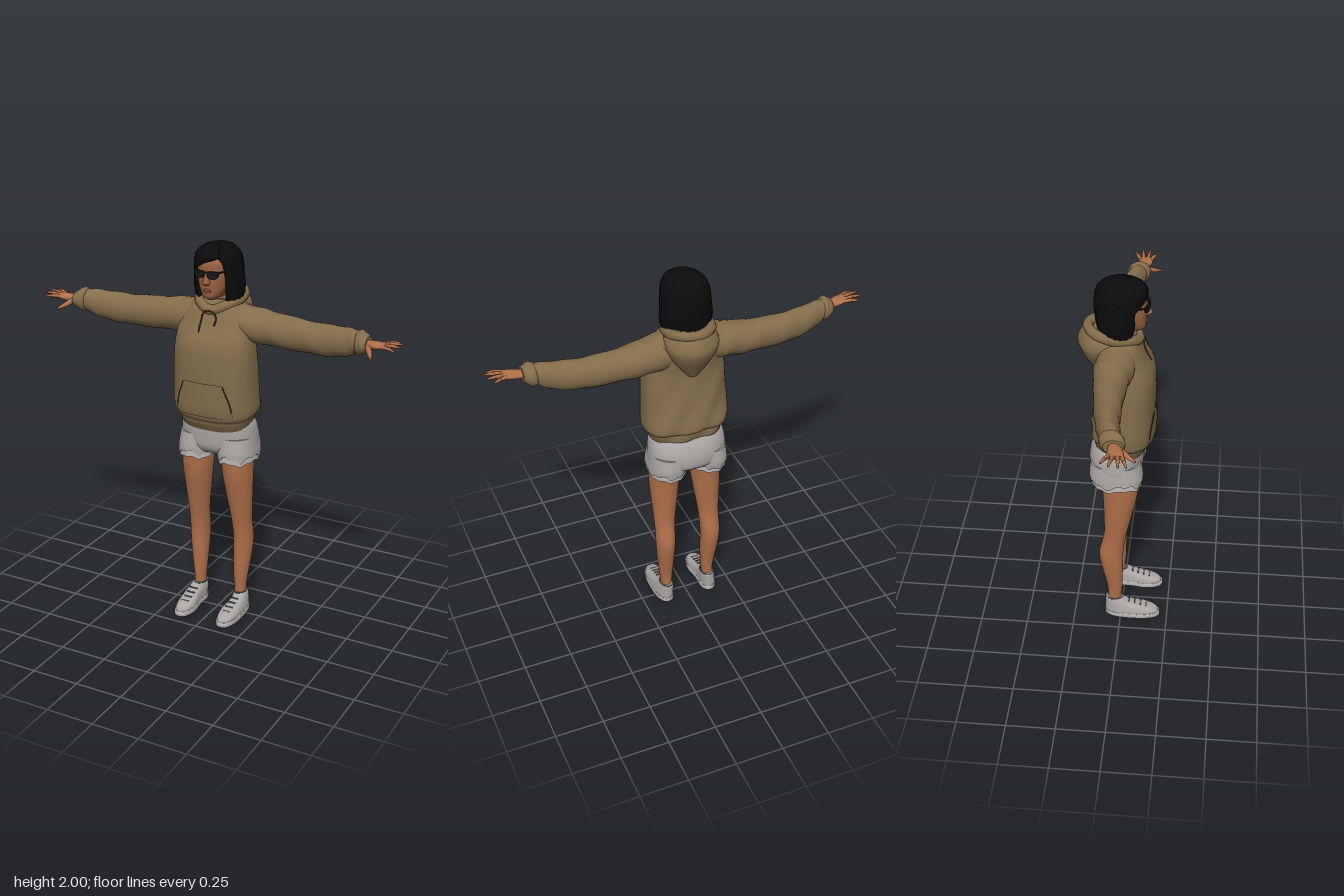
import * as THREE from 'three';
import { mergeGeometries } from 'three/addons/utils/BufferGeometryUtils.js';

const V = (x, y, z) => new THREE.Vector3(x, y, z);
const paint = (name, color) => Object.assign(new THREE.MeshStandardMaterial({ color }), { name });

// Catmull-Rom resampling of a list of cross-sections
function smooth(secs, k = 4) {
  const out = [], at = i => secs[Math.max(0, Math.min(secs.length - 1, i))];
  for (let i = 0; i < secs.length - 1; i++) {
    for (let s = 0; s < k; s++) {
      const t = s / k, [a, b, c, d] = [at(i - 1), at(i), at(i + 1), at(i + 2)];
      out.push(b.map((_, m) => 0.5 * (2 * b[m] + (c[m] - a[m]) * t
        + (2 * a[m] - 5 * b[m] + 4 * c[m] - d[m]) * t * t + (3 * b[m] - a[m] - 3 * c[m] + d[m]) * t ** 3)));
    }
  }
  out.push(secs[secs.length - 1]);
  return out;
}

// Skin over closed rings of points, with fan caps
function skin(rows) {
  const n = rows[0].length, pos = [], idx = [];
  rows.forEach(r => r.forEach(p => pos.push(p.x, p.y, p.z)));
  for (let i = 0; i < rows.length - 1; i++) {
    for (let j = 0; j < n; j++) {
      const a = i * n + j, b = i * n + (j + 1) % n;
      idx.push(a, a + n, b, b, a + n, b + n);
    }
  }
  [rows[0], rows[rows.length - 1]].forEach((r, end) => {
    const base = pos.length / 3, c = r.reduce((s, p) => s.add(p), V(0, 0, 0)).divideScalar(n);
    [...r, c].forEach(p => pos.push(p.x, p.y, p.z));
    for (let j = 0; j < n; j++) {
      const k = base + (j + 1) % n;
      idx.push(base + n, end ? k : base + j, end ? base + j : k);
    }
  });
  const g = new THREE.BufferGeometry();
  g.setAttribute('position', new THREE.Float32BufferAttribute(pos, 3));
  g.setIndex(idx);
  g.computeVertexNormals();
  return g;
}

const pw = (v, p) => Math.sign(v) * Math.abs(v) ** (2 / p);
// Upright loft: sections are [y, centreX, halfWidth, zFront, zBack]; bend(point, row, angle) adjusts points
function upright(secs, { n = 28, p = 2, k = 4, bend } = {}) {
  return skin(smooth(secs, k).map(([y, cx, hx, zf, zb], i) => Array.from({ length: n }, (_, j) => {
    const a = j / n * Math.PI * 2;
    const v = V(cx + hx * pw(Math.cos(a), p), y, (zf + zb) / 2 + (zf - zb) / 2 * pw(Math.sin(a), p));
    if (bend) bend(v, i, a);
    return v;
  })));
}
// Sideways loft: sections are [x, centreY, centreZ, halfHeight, halfDepth]
function sideways(secs, n = 20, crease = 0) {
  return skin(smooth(secs).map(([x, cy, cz, ry, rz], i) => Array.from({ length: n }, (_, j) => {
    const a = j / n * Math.PI * 2, r = 1 + crease * Math.sin(i * 1.3 + 2 * a);
    return V(x, cy + ry * r * Math.cos(a), cz - rz * r * Math.sin(a));
  })));
}
function rod(p, q, r1, r2, n = 8) {
  const d = q.clone().sub(p), g = new THREE.CylinderGeometry(r2, r1, d.length(), n);
  g.applyQuaternion(new THREE.Quaternion().setFromUnitVectors(V(0, 1, 0), d.normalize()));
  return g.translate((p.x + q.x) / 2, (p.y + q.y) / 2, (p.z + q.z) / 2);
}
const cord = (pts, r, closed = false) =>
  new THREE.TubeGeometry(new THREE.CatmullRomCurve3(pts.map(p => V(...p)), closed), 40, r, 8, closed);

function mirrored(g) {
  const m = g.clone(), ix = m.index.array;
  m.scale(-1, 1, 1);
  for (let i = 0; i < ix.length; i += 3) [ix[i], ix[i + 1]] = [ix[i + 1], ix[i]];
  m.computeVertexNormals();
  return m;
}

export function createModel() {
  const model = new THREE.Group();
  const cloth = paint('hoodie brown', 0x836d4b), seam = paint('seam dark brown', 0x4a3c28);
  const tan = paint('skin', 0xb0704a), face = paint('face skin', 0x9a6242), lip = paint('lips', 0x7a4435);
  const black = paint('hair black', 0x0b0b0c), lens = paint('glasses black', 0x151517);
  const grey = paint('shorts grey', 0xaaa6a4), pale = paint('pale grey', 0xbdbab8), dark = paint('lace grey', 0x5c5a5a);
  const add = (name, g, m) => {
    const mesh = new THREE.Mesh(g, m);
    mesh.name = name;
    model.add(mesh);
  };
  const pair = (name, g, m) => { add(name + 'Left', g, m); add(name + 'Right', mirrored(g), m); };

  // Hoodie body, with a hem that drops towards the front
  const body = [[1.085, 0, .185, .115, -.135], [1.12, 0, .195, .135, -.14], [1.135, 0, .2, .14, -.14], [1.17, 0, .222, .16, -.158],
    [1.3, 0, .218, .165, -.14], [1.45, 0, .212, .165, -.122], [1.53, 0, .205, .152, -.12], [1.6, 0, .198, .115, -.13],
    [1.66, 0, .175, .09, -.135], [1.7, 0, .13, .07, -.125], [1.73, 0, .08, .05, -.1]];
  add('hoodieBody', upright(body, { n: 40, p: 2.5, bend: v => {
    const low = Math.max(0, 1 - (v.y - 1.085) / .15);
    v.y -= .22 * v.z * low;
    if (v.z < 0) v.z += .008 * Math.sin(v.x * 40 + v.y * 25) * Math.min(1, 2 * Math.max(0, 1.6 - v.y));
  } }), cloth);
  const fine = smooth(body, 8);
  const frontZ = (x, y) => {
    const [, , hx, zf, zb] = fine.find(s => s[0] >= y) || fine[fine.length - 1];
    return (zf + zb) / 2 + (zf - zb) / 2 * Math.max(0, 1 - Math.abs(x / hx) ** 2.5) ** .4;
  };

  // Front pouch following the body, with slanted openings
  const pouch = new THREE.PlaneGeometry(1, 1, 16, 10), pp = pouch.attributes.position;
  for (let i = 0; i < pp.count; i++) {
    const v = pp.getY(i) + .5, x = pp.getX(i) * 2 * (v > .3 ? .155 - .07 * (v - .3) : .155), y = 1.15 + .18 * v;
    pp.setXYZ(i, x, y, frontZ(x, y) + .009);
  }
  pouch.computeVertexNormals();
  add('pouch', pouch, cloth);
  pair('pouchOpening', cord([[.15, 1.19], [.143, 1.23], [.125, 1.28], [.108, 1.325]].map(([x, y]) => [x, y, frontZ(x, y) + .008]), .003), seam);

  // Sleeves and cuffs
  pair('sleeve', sideways([[.09, 1.615, -.02, .09, .1], [.2, 1.605, -.03, .088, .095], [.3, 1.594, -.035, .085, .08], [.47, 1.585, -.03, .08, .066],
    [.6, 1.588, -.018, .079, .058], [.7, 1.602, 0, .07, .052], [.75, 1.614, .012, .055, .048], [.775, 1.618, .018, .045, .046]], 24, .025), cloth);
  pair('cuff', sideways([[.745, 1.612, .01, .05, .045], [.762, 1.615, .016, .062, .058], [.785, 1.616, .022, .055, .057], [.81, 1.616, .028, .036, .048]], 20, .03), cloth);

  // Hood hanging down the back, and its collar
  add('hood', upright([[1.49, 0, .025, -.09, -.13], [1.55, 0, .075, -.05, -.165], [1.61, 0, .115, 0, -.198], [1.66, 0, .135, .03, -.215],
    [1.7, 0, .132, .04, -.205], [1.735, 0, .11, .03, -.185], [1.75, 0, .09, .01, -.165], [1.72, 0, .06, 0, -.12]], { n: 32,
    bend: v => { if (v.z < -.08) v.z -= .012 * Math.max(0, 1 - Math.abs(v.x) / .05) * Math.max(0, (v.y - 1.55) / .2); } }), cloth);
  add('hoodCollar', cord([[0, 1.745, -.17], [.085, 1.74, -.125], [.11, 1.725, -.04], [.075, 1.705, .04], [0, 1.68, .078],
    [-.075, 1.705, .04], [-.11, 1.725, -.04], [-.085, 1.74, -.125]], .026, true), cloth);
  add('drawstringRight', cord([[0, 1.685, .106], [-.025, 1.67, .103], [-.032, 1.63, .116], [-.033, 1.58, .142]], .004), seam);
  add('drawstringLeft', cord([[0, 1.685, .106], [.03, 1.675, .102], [.045, 1.65, .105], [.042, 1.615, .121]], .004), seam);

  // Hands
  pair('palm', sideways([[.78, 1.617, .028, .02, .026], [.82, 1.618, .034, .02, .03], [.86, 1.622, .042, .018, .038], [.9, 1.627, .045, .011, .036]], 16), tan);
  const fingers = [[.07, .962, 1.622, .098], [.053, .98, 1.634, .064], [.034, .977, 1.636, .022], [.017, .952, 1.632, -.015]].flatMap(([z, x, y, tz]) => {
    const root = V(.885, 1.626, z), tip = V(x, y, tz), mid = root.clone().lerp(tip, .55).add(V(0, .005, 0));
    return [rod(root, mid, .0105, .009), rod(mid, tip, .009, .004)];
  });
  fingers.push(rod(V(.815, 1.612, .05), V(.842, 1.592, .095), .016, .012), rod(V(.842, 1.592, .095), V(.862, 1.58, .13), .012, .005));
  pair('fingers', mergeGeometries(fingers), tan);

  // Head and neck
  add('neck', upright([[1.64, 0, .06, .045, -.09], [1.72, 0, .05, .045, -.075], [1.79, 0, .05, .05, -.07]]), face);
  add('head', upright([[1.735, 0, .022, .092, .02], [1.75, 0, .045, .108, -.02], [1.775, 0, .062, .113, -.05], [1.8, 0, .073, .114, -.07],
    [1.84, 0, .082, .116, -.08], [1.88, 0, .085, .114, -.09], [1.92, 0, .083, .113, -.09], [1.955, 0, .065, .09, -.07]], { n: 36, p: 2.2 }), face);
  add('nose', upright([[1.814, 0, .012, .124, .09], [1.822, 0, .019, .136, .09], [1.832, 0, .017, .142, .09], [1.855, 0, .011, .13, .09], [1.885, 0, .008, .117, .09]], { n: 16 }), face);
  const mouth = new THREE.SphereGeometry(1, 16, 10);
  add('lips', mouth.scale(.023, .009, .009).translate(0, 1.786, .112), lip);

  // Bob hair with a side-swept face opening: [y, halfWidth, zFront, zBack, openingRight, openingLeft]
  add('hair', skin(smooth([[1.705, .095, .05, -.09, -.066, .066], [1.73, .122, .07, -.115, -.076, .072], [1.78, .13, .085, -.13, -.08, .076],
    [1.84, .125, .098, -.138, -.09, .079], [1.872, .122, .108, -.14, -.088, .078], [1.9, .12, .114, -.139, -.05, .076], [1.925, .116, .118, -.136, -.005, .07],
    [1.945, .11, .117, -.13, .05, .056], [1.965, .097, .106, -.118, .05, .05], [1.985, .072, .077, -.092, .04, .04], [1.996, .042, .043, -.06, .02, .02],
    [2, .01, .01, -.02, .003, .003]]).map(([y, hx, zf, zb, xr, xl]) => {
    const ang = x => Math.acos(Math.max(-1, Math.min(1, x / hx))), a1 = ang(xr), a0 = ang(Math.max(xr, xl)) + Math.PI * 2, n = 56;
    const ring = Array.from({ length: n }, (_, j) => {
      const a = a1 + (a0 - a1) * j / (n - 1), w = 1 + .018 * Math.sin(j * 1.9);
      return V(hx * w * Math.cos(a), y, (zf + zb) / 2 + (zf - zb) / 2 * w * Math.sin(a));
    });
    const inZ = Math.min(0, zf);
    return [...ring, V(xl * .95, y, inZ), V(xr * .95, y, inZ)];
  })), black);

  // Sunglasses
  const glass = new THREE.CylinderGeometry(1, 1, .008, 24).rotateX(Math.PI / 2).scale(.031, .025, 1);
  const gp = glass.attributes.position;
  for (let i = 0; i < gp.count; i++) if (gp.getY(i) > .014) gp.setY(i, .014);
  pair('lens', glass.rotateY(.3).translate(.036, 1.872, .119), lens);
  pair('templeArm', rod(V(.066, 1.882, .112), V(.09, 1.875, 0), .004, .004), lens);
  add('bridge', new THREE.BoxGeometry(.03, .006, .007).translate(0, 1.88, .126), lens);

  // Shorts: seat, legs and a frayed fringe
  add('shortsSeat', upright([[.925, 0, .17, .08, -.135], [.96, 0, .203, .105, -.165], [1.02, 0, .204, .112, -.168], [1.08, 0, .197, .112, -.15], [1.12, 0, .18, .1, -.12]], { n: 36, p: 2.3 }), grey);
  const fray = amp => (v, i, a) => { if (i < 2) v.y += amp * (Math.sin(a * 5) + .7 * Math.sin(a * 11 + 1)); };
  pair('shortsLeg', upright([[.915, .112, .1, .112, -.156], [.95, .109, .1, .112, -.162], [1.02, .1, .1, .1, -.155]], { n: 48, p: 2.3, bend: fray(.011) }), grey);
  pair('shortsFringe', upright([[.887, .111, .095, .106, -.148], [.93, .11, .095, .106, -.15], [.97, .105, .093, .1, -.15]], { n: 48, p: 2.3, bend: fray(.005) }), pale);

  // Legs
  pair('leg', upright([[.06, .121, .032, .004, -.068], [.12, .12, .03, .002, -.068], [.2, .121, .037, .008, -.075], [.32, .126, .047, .01, -.1], [.42, .128, .051, .012, -.115],
    [.5, .126, .053, .02, -.1], [.57, .124, .057, .033, -.088], [.7, .119, .07, .062, -.09], [.82, .115, .08, .086, -.095], [.96, .112, .085, .095, -.11]]), tan);

  // Shoes
  const waist = v => { v.x += v.x < .123 ? .014 * Math.exp(-(((v.z - .03) / .06) ** 2)) : 0; };
  pair('sole', upright([[0, .124, .05, .2, -.08], [.006, .124, .056, .212, -.085], [.026, .124, .057, .212, -.087], [.03, .124, .054, .205, -.085]], { n: 36, p: 2.5, k: 1, bend: waist }), pale);
  pair('shoeUpper', upright([[.025, .124, .054, .206, -.084], [.045, .124, .053, .196, -.085], [.06, .123, .05, .165, -.085], [.075, .122, .047, .11, -.084],
    [.092, .121, .042, .055, -.084], [.11, .12, .037, .02, -.084], [.115, .12, .033, .012, -.078]], { n: 32, p: 2.4, bend: waist }), grey);
  const laces = [0, 1, 2, 3].map(i => new THREE.BoxGeometry(.046 - i * .002, .005, .007).rotateX(.3).translate(.123, .099 - i * .011, .045 + i * .031));
  pair('laces', mergeGeometries(laces), dark);
  pair('shoeCollar', new THREE.TorusGeometry(1, .1, 8, 28).rotateX(Math.PI / 2).scale(.034, .03, .047).translate(.12, .114, -.034), dark);

  return model;
}
